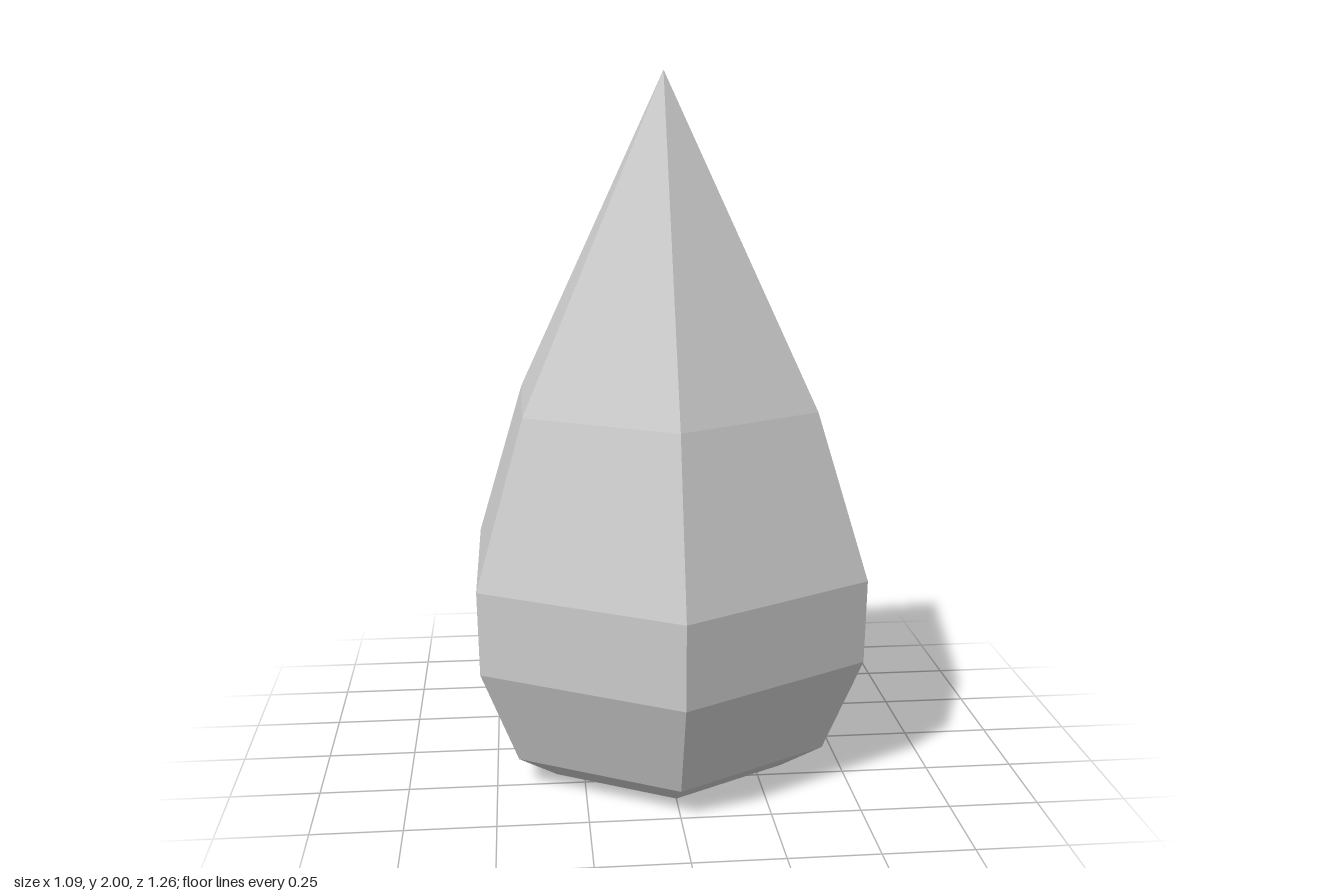
import * as THREE from 'three';

export function createModel() {
  const model = new THREE.Group();
  model.name = 'facetedDrop';

  const stoneGrey = new THREE.MeshStandardMaterial({ color: 0xcccccc, flatShading: true });
  stoneGrey.name = 'stoneGrey';

  // Profile from the centre of the base up to the tip: [corner radius, height]
  const profile = [
    [0, 0], [0.38, 0], [0.505, 0.08], [0.623, 0.36],
    [0.629, 0.6], [0.473, 1.07], [0, 2],
  ].map(([r, y]) => new THREE.Vector2(r, y));

  // Six-sided drop with one corner facing the front, every facet flat
  const geometry = new THREE.LatheGeometry(profile, 6).toNonIndexed();
  geometry.computeVertexNormals();

  const drop = new THREE.Mesh(geometry, stoneGrey);
  drop.name = 'dropBody';
  model.add(drop);
  return model;
}
